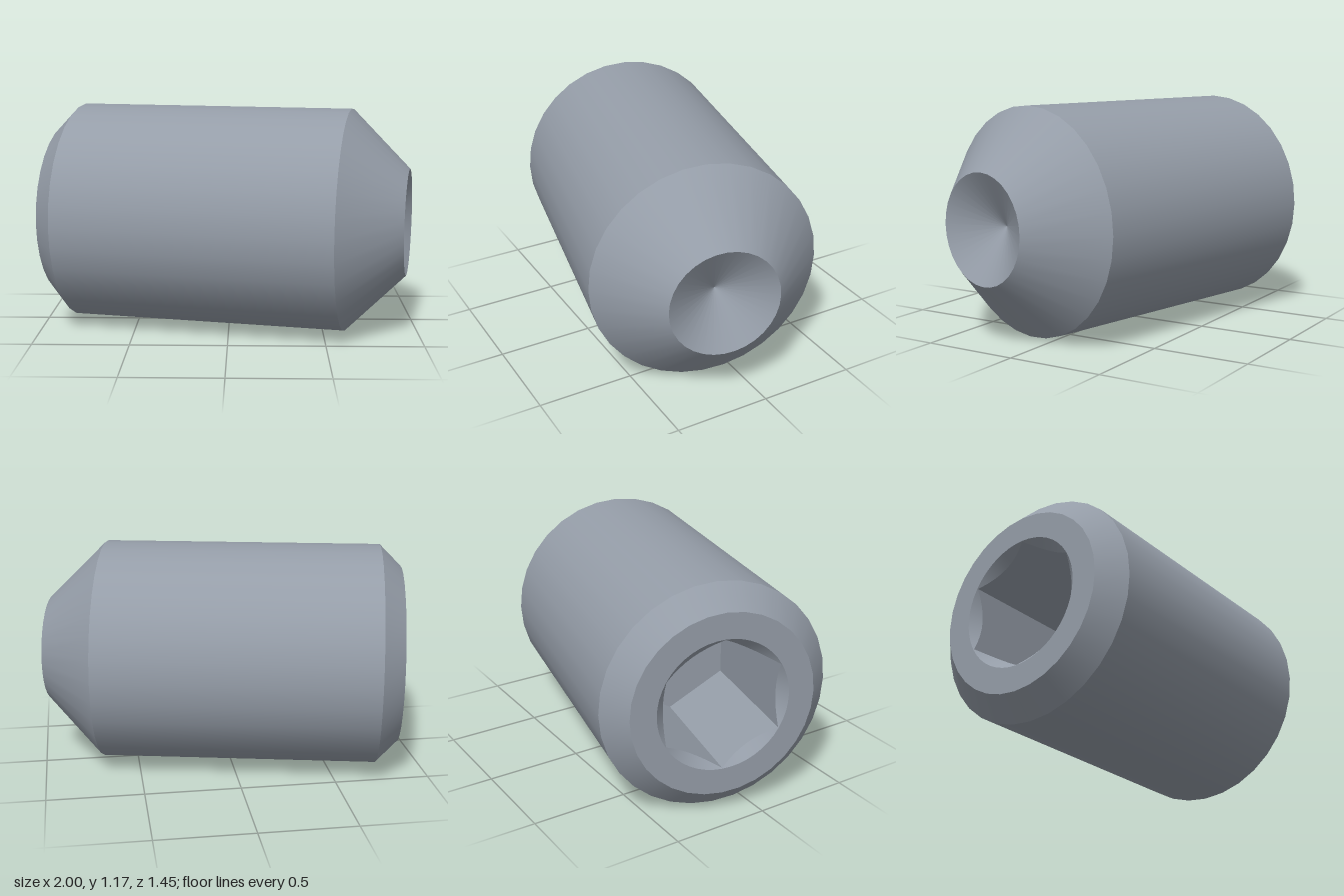
import * as THREE from 'three';
import { mergeVertices } from 'three/addons/utils/BufferGeometryUtils.js';

const SEGMENTS = 32;
const BODY_R = 0.587, END_R = 0.473, TIP_R = 0.28;
const BACK = -0.92, BODY_START = -0.806, BODY_END = 0.655, TIP = 0.963;
const MOUTH_R = 0.34, HEX_R = 0.337, SOCKET_FLOOR = -0.22, CUP_APEX = 0.8;
const SOCKET_STEPS = 48;

// Distance from the axis to the hexagon wall at an angle
function hexRadius(angle) {
  const sector = Math.PI / 3;
  const a = ((angle % sector) + sector) % sector;
  return HEX_R * Math.cos(sector / 2) / Math.cos(a - sector / 2);
}

// Inward-facing band between two closed loops, each given as angle -> [radius, y]
function innerBand(lower, upper, steps) {
  const positions = [];
  const point = (loop, i) => {
    const angle = (i / steps) * Math.PI * 2;
    const [r, y] = loop(angle);
    return [r * Math.cos(angle), y, r * Math.sin(angle)];
  };
  for (let i = 0; i < steps; i++) {
    const a = point(lower, i), b = point(lower, i + 1);
    const c = point(upper, i + 1), d = point(upper, i);
    positions.push(...a, ...b, ...c, ...a, ...c, ...d);
  }
  const geometry = new THREE.BufferGeometry();
  geometry.setAttribute('position', new THREE.Float32BufferAttribute(positions, 3));
  return geometry;
}

function circlePoints(radius, steps) {
  return Array.from({ length: steps }, (_, i) => {
    const a = (i / steps) * Math.PI * 2;
    return new THREE.Vector2(radius * Math.cos(a), radius * Math.sin(a));
  });
}

export function createModel() {
  const steel = new THREE.MeshStandardMaterial({ color: 0x959da8 });
  steel.name = 'steel';

  // The screw is built along its own y axis, tip upwards
  const screw = new THREE.Group();
  screw.name = 'setScrew';
  const add = (name, geometry) => {
    const mesh = new THREE.Mesh(geometry, steel);
    mesh.name = name;
    screw.add(mesh);
  };

  // Turned surfaces, one per section so the edges stay sharp
  const turned = [
    ['backChamfer', END_R, BACK, BODY_R, BODY_START],
    ['barrel', BODY_R, BODY_START, BODY_R, BODY_END],
    ['tipCone', BODY_R, BODY_END, TIP_R, TIP],
    ['cupPoint', TIP_R, TIP, 0, CUP_APEX],
  ];
  for (const [name, r0, y0, r1, y1] of turned) {
    const profile = [new THREE.Vector2(r0, y0), new THREE.Vector2(r1, y1)];
    add(name, new THREE.LatheGeometry(profile, SEGMENTS));
  }

  // Flat ring around the socket mouth
  const face = new THREE.Shape(circlePoints(END_R, SEGMENTS));
  face.holes.push(new THREE.Path(circlePoints(MOUTH_R, SOCKET_STEPS)));
  add('backFace', new THREE.ShapeGeometry(face).rotateX(Math.PI / 2).translate(0, BACK, 0));

  // Hexagonal socket with a conical countersink
  const mouth = () => [MOUTH_R, BACK];
  const rim = (a) => [hexRadius(a), BACK + MOUTH_R - hexRadius(a)];
  const bottom = (a) => [hexRadius(a), SOCKET_FLOOR];
  const countersink = mergeVertices(innerBand(mouth, rim, SOCKET_STEPS));
  countersink.computeVertexNormals();
  add('socketCountersink', countersink);
  const walls = innerBand(rim, bottom, SOCKET_STEPS);
  walls.computeVertexNormals();
  add('socketWalls', walls);
  add('socketFloor', new THREE.CircleGeometry(HEX_R, 6)
    .rotateX(Math.PI / 2).translate(0, SOCKET_FLOOR, 0));

  // Lay the screw down and turn it slightly towards the front
  screw.rotation.z = -Math.PI / 2;
  const model = new THREE.Group();
  model.name = 'model';
  const turn = new THREE.Group();
  turn.name = 'turnedScrew';
  turn.rotation.y = -0.21;
  turn.position.set(-0.003, BODY_R, 0.012);
  turn.add(screw);
  model.add(turn);
  return model;
}
